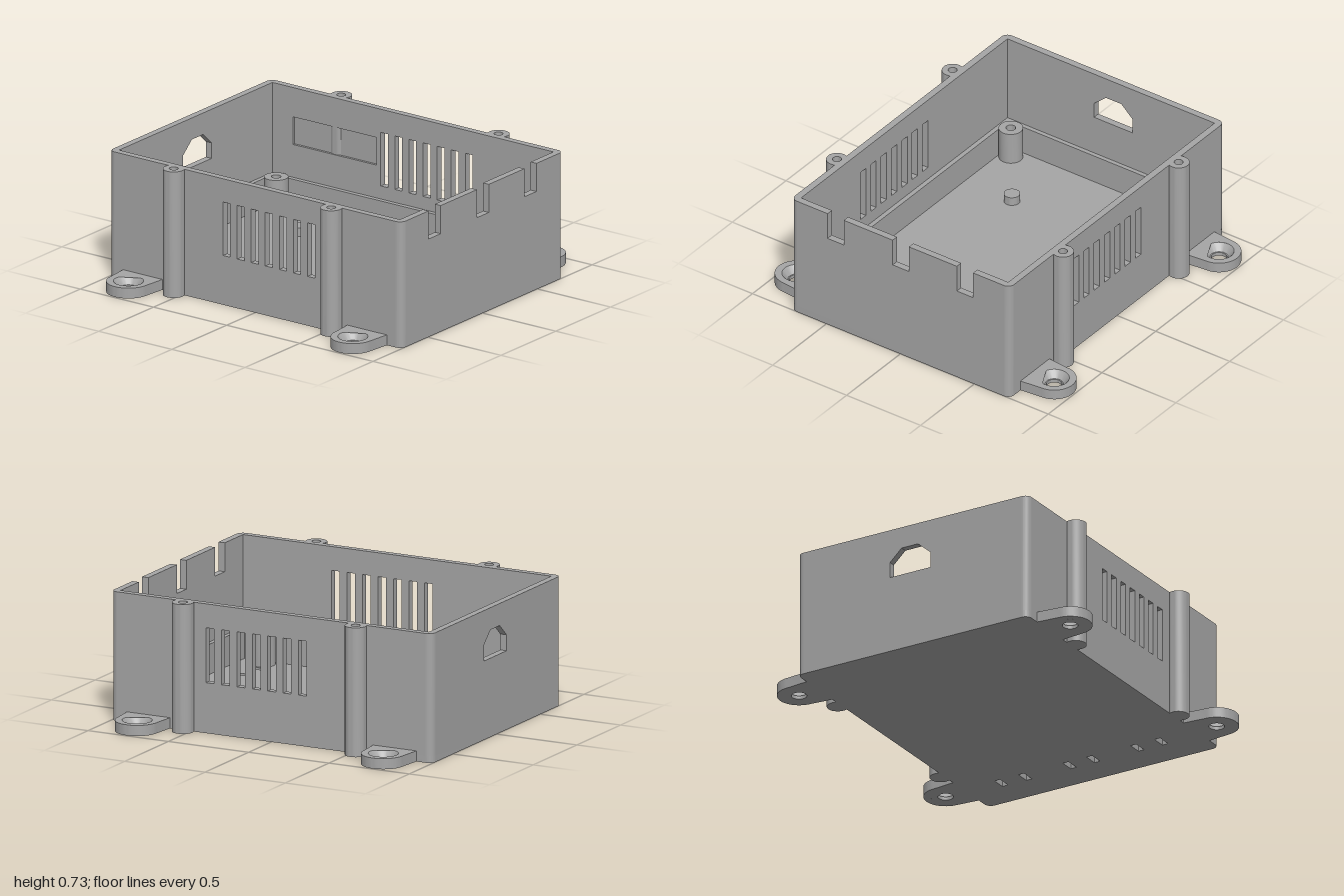
import * as THREE from 'three';
import { toCreasedNormals } from 'three/addons/utils/BufferGeometryUtils.js';

const W = 1, D = 0.74, H = 0.73, T = 0.04, FLOOR = 0.04;

export function createModel() {
  const model = new THREE.Group();
  model.name = 'enclosure';
  const grey = new THREE.MeshStandardMaterial({ color: 0xa6a6a6 });
  grey.name = 'grey plastic';

  const add = (name, geometry, x = 0, y = 0, z = 0) => {
    const mesh = new THREE.Mesh(toCreasedNormals(geometry, 0.6), grey);
    mesh.name = name;
    mesh.position.set(x, y, z);
    model.add(mesh);
    return mesh;
  };
  const poly = (pts, Type = THREE.Shape) => new Type(pts.map(([x, y]) => new THREE.Vector2(x, y)));
  const rect = (x0, y0, x1, y1, Type = THREE.Path) => poly([[x0, y0], [x1, y0], [x1, y1], [x0, y1]], Type);
  const extrude = (shape, depth) =>
    new THREE.ExtrudeGeometry(shape, { depth, bevelEnabled: false, curveSegments: 24 });
  // Plan shape (x, z) extruded upwards from y = 0
  const plan = (shape, height) => extrude(shape, height).rotateX(Math.PI / 2).translate(0, height, 0);
  const lathe = (pts) => new THREE.LatheGeometry(pts.map(([x, y]) => new THREE.Vector2(x, y)), 40);
  // Round post with a blind screw hole
  const post = (r, hole, h, depth) => lathe([[0, 0], [r, 0], [r, h], [hole, h], [hole, h - depth], [0, h - depth]]);

  // Floor with rounded corners and six vent slots
  const base = new THREE.Shape();
  base.absarc(W - T, D - T, T, 0, Math.PI / 2);
  base.absarc(-W + T, D - T, T, Math.PI / 2, Math.PI);
  base.absarc(-W + T, -D + T, T, Math.PI, Math.PI * 1.5);
  base.absarc(W - T, -D + T, T, Math.PI * 1.5, Math.PI * 2);
  for (const z of [-0.517, -0.364, -0.079, 0.073, 0.356, 0.509])
    base.holes.push(rect(0.73, z - 0.018, 0.813, z + 0.018));
  add('floor', plan(base, FLOOR));

  // Front and back walls with vertical vents
  for (const back of [false, true]) {
    const wall = rect(-W + T, FLOOR, W - T, H, THREE.Shape);
    for (let i = 0; i < 7; i++) {
      const x = -0.195 + i * 0.0963;
      wall.holes.push(rect(x - 0.025, 0.285, x + 0.025, 0.595));
    }
    if (back) wall.holes.push(rect(-0.82, 0.4, -0.25, 0.56));
    add(back ? 'backWall' : 'frontWall', extrude(wall, T), 0, 0, back ? -D : D - T);
  }
  // Thin panel closing the recess on the inside of the back wall
  add('recessPanel', new THREE.BoxGeometry(0.57, 0.16, 0.025), -0.535, 0.48, -D + 0.0125);

  // Right-hand (+x) wall with three notches in its top edge; outline uses u = -z
  const e = D - T;
  const outline = [[-e, FLOOR], [e, FLOOR], [e, H]];
  for (const u of [0.437, 0.003, -0.437])
    outline.push([u + 0.055, H], [u + 0.055, 0.567], [u - 0.055, 0.567], [u - 0.055, H]);
  outline.push([-e, H]);
  add('notchedWall', extrude(poly(outline), T).rotateY(Math.PI / 2), W - T);

  // Opposite wall with a chamfered cable opening
  const portWall = rect(-e, FLOOR, e, H, THREE.Shape);
  portWall.holes.push(poly([[-0.115, 0.445], [0.145, 0.445], [0.145, 0.535], [0.07, 0.605], [-0.035, 0.605], [-0.115, 0.535]], THREE.Path));
  add('portWall', extrude(portWall, T).rotateY(Math.PI / 2), -W);

  // Rounded vertical corners
  [[1, 1, 0], [1, -1, 1], [-1, -1, 2], [-1, 1, 3]].forEach(([sx, sz, q]) => {
    const corner = new THREE.CylinderGeometry(T, T, H - FLOOR, 10, 1, false, q * Math.PI / 2, Math.PI / 2);
    add('wallCorner', corner, sx * (W - T), (H + FLOOR) / 2, sz * (D - T));
  });

  // Inner ledge around the floor
  const ledge = rect(-W + T, -D + T, W - T, D - T, THREE.Shape);
  ledge.holes.push(rect(-0.935, -0.673, 0.935, 0.673));
  add('innerLedge', plan(ledge, 0.17), 0, FLOOR);

  // Low board pegs
  for (const x of [-0.52, 0.285]) for (const z of [-0.357, 0.35])
    add('boardPeg', new THREE.CylinderGeometry(0.045, 0.045, 0.05, 32), x, FLOOR + 0.025, z);

  // Mounting tab: rounded, flared plate with a countersunk hole
  const tab = new THREE.Shape();
  tab.moveTo(-0.135, 0);
  tab.lineTo(-0.122, 0.13);
  tab.absarc(0, 0.13, 0.122, Math.PI, 0, true);
  tab.lineTo(0.135, 0);
  const sink = new THREE.Path();
  sink.absarc(0, 0.13, 0.083, 0, Math.PI * 2);
  tab.holes.push(sink);

  for (const s of [-1, 1]) {
    for (const x of [-0.867, 0.785])
      add('cornerPost', post(0.067, 0.027, 0.19, 0.15), x, FLOOR, s * 0.61);
    for (const x of [-0.538, 0.538])
      add('screwColumn', post(0.06, 0.025, H, 0.3), x, 0, s * 0.764);
    for (const x of [-0.768, 0.765]) {
      const plate = add('mountingTab', plan(tab, 0.06), x, 0, s * D);
      if (s < 0) plate.rotation.y = Math.PI;
      add('countersink', lathe([[0.043, 0], [0.083, 0], [0.083, 0.06], [0.05, 0.02], [0.043, 0.02], [0.043, 0]]), x, 0, s * (D + 0.13));
    }
  }
  return model;
}
